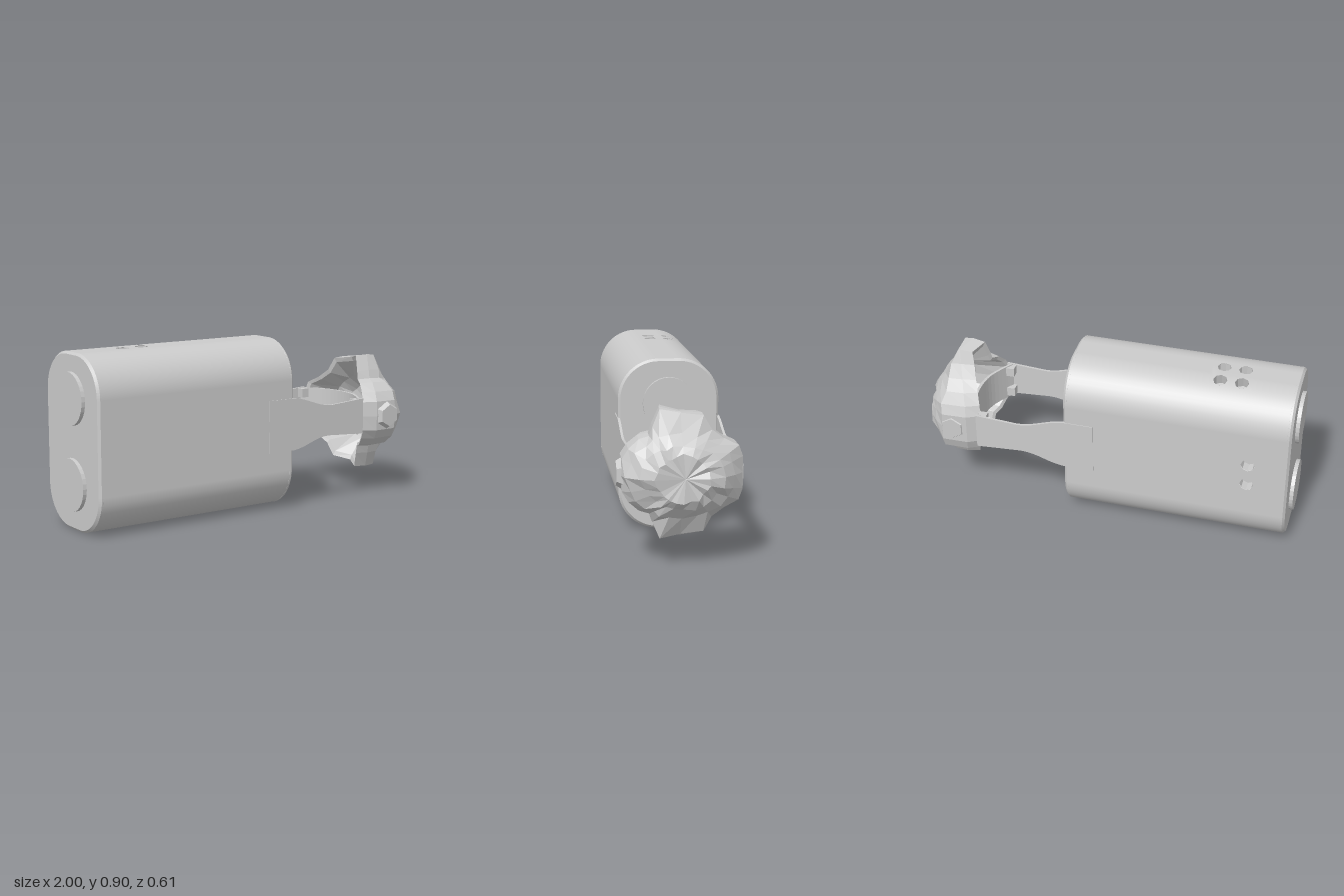
import * as THREE from 'three';
import { mergeGeometries } from 'three/addons/utils/BufferGeometryUtils.js';

const grey = new THREE.MeshStandardMaterial({ color: 0xcccccc, side: THREE.DoubleSide });
const flat = new THREE.MeshStandardMaterial({ color: 0xcccccc, side: THREE.DoubleSide, flatShading: true });
const ZC = -0.0275, MIDY = 0.45; // centre of the casing section

function add(parent, name, geometry, material = flat) {
  const mesh = new THREE.Mesh(geometry, material);
  mesh.name = name;
  parent.add(mesh);
  return mesh;
}

// Rounded casing section, drawn clockwise from the top
function section(inset) {
  const r = 0.21 - inset, a = 0.0525, b = 0.24, s = new THREE.Shape(), q = Math.PI / 2;
  s.moveTo(-a, b + r);
  s.lineTo(a, b + r);
  s.absarc(a, b, r, q, 0, true);
  s.lineTo(a + r, -b);
  s.absarc(a, -b, r, 0, -q, true);
  s.lineTo(-a, -b - r);
  s.absarc(-a, -b, r, -q, -2 * q, true);
  s.lineTo(-a - r, b);
  s.absarc(-a, b, r, 2 * q, q, true);
  return s;
}

function createCasing() {
  const g = new THREE.Group();
  g.name = 'casing';
  const path = section(0), P = path.getLength(), half = P / 2;
  const wrap = (x, s) => {
    const u = (((s % P) + P) % P) / P, p = path.getPointAt(u), t = path.getTangentAt(u);
    return { pos: new THREE.Vector3(x, MIDY + p.y, ZC - p.x), n: new THREE.Vector3(0, t.x, t.y) };
  };
  const skin = [], R = 0.036;

  // A patch of the unrolled skin, bent round the section
  function patch(x0, x1, s0, s1, holes = []) {
    const pts = [], N = holes.length ? 8 : 1;
    for (let i = 0; i <= N; i++) pts.push(new THREE.Vector2(x1, s0 + (s1 - s0) * i / N));
    for (let i = N; i >= 0; i--) pts.push(new THREE.Vector2(x0, s0 + (s1 - s0) * i / N));
    const shape = new THREE.Shape(pts);
    for (const [hx, hs] of holes) {
      const ring = [];
      for (let k = 0; k < 8; k++) {
        ring.push(new THREE.Vector2(hx + R * Math.cos(k * Math.PI / 4), hs + R * Math.sin(k * Math.PI / 4)));
      }
      shape.holes.push(new THREE.Path(ring));
      // Recessed cup behind each hole
      const { pos, n } = wrap(hx, hs);
      const profile = [[0, -0.06], [R, -0.06], [R, -0.002]].map(p => new THREE.Vector2(...p));
      const cup = add(g, 'ventHole', new THREE.LatheGeometry(profile, 8));
      cup.position.copy(pos);
      cup.quaternion.setFromUnitVectors(new THREE.Vector3(0, 1, 0), n);
    }
    const geo = new THREE.ShapeGeometry(shape), p = geo.attributes.position, nn = geo.attributes.normal;
    for (let i = 0; i < p.count; i++) {
      const w = wrap(p.getX(i), p.getY(i));
      p.setXYZ(i, w.pos.x, w.pos.y, w.pos.z);
      nn.setXYZ(i, w.n.x, w.n.y, w.n.z);
    }
    skin.push(geo);
  }
  const XA = -0.958, XB = 0.178;
  const strips = (x0, x1, s0, s1, n) => {
    for (let i = 0; i < n; i++) patch(x0, x1, s0 + (s1 - s0) * i / n, s0 + (s1 - s0) * (i + 1) / n);
  };
  const grid = (a, b) => [[-0.69, a], [-0.69, b], [-0.58, a], [-0.58, b]];
  // Top and bottom bands with four holes each
  for (const [s0, s1, a, b] of [[0, 0.21, 0.045, 0.155], [half - 0.105, half + 0.105, half - 0.05, half + 0.06]]) {
    strips(XA, -0.75, s0, s1, 8);
    patch(-0.75, -0.52, s0, s1, grid(a, b));
    strips(-0.52, XB, s0, s1, 8);
  }
  // Back side with two holes, plain front side, and the curved corners
  const f0 = 0.105 + 0.21 * Math.PI / 2, f1 = f0 + 0.48;
  patch(XA, XB, f0, f1, [[-0.77, (f0 + f1) / 2 - 0.06], [-0.77, (f0 + f1) / 2 + 0.06]]);
  patch(XA, XB, half + f0, half + f1);
  strips(XA, XB, 0.21, f0, 8);
  strips(XA, XB, f1, half - 0.105, 8);
  strips(XA, XB, half + 0.105, half + f0, 8);
  strips(XA, XB, half + f1, P, 12);
  add(g, 'casingSkin', mergeGeometries(skin), grey);

  // Chamfered end plates with two round discs each
  for (const [x, dx] of [[-0.968, -0.99], [0.178, 0.21]]) {
    const cap = add(g, 'endPlate', new THREE.ExtrudeGeometry(section(0.012), {
      depth: 0.01, bevelSize: 0.012, bevelThickness: 0.012, bevelSegments: 1, curveSegments: 12 }));
    cap.rotation.y = Math.PI / 2;
    cap.position.set(x, MIDY, ZC);
    for (const y of [0.235, 0.67]) {
      const disc = add(g, 'endDisc', new THREE.CylinderGeometry(0.135, 0.135, 0.02, 32).rotateZ(Math.PI / 2));
      disc.position.set(dx, y, ZC);
    }
  }
  return g;
}

function createStraps() {
  const g = new THREE.Group();
  g.name = 'straps';
  const s = new THREE.Shape();
  s.moveTo(0.04, 0.315);
  s.lineTo(0.2, 0.315);
  s.bezierCurveTo(0.3, 0.325, 0.34, 0.37, 0.44, 0.37);
  s.lineTo(0.68, 0.355);
  s.lineTo(0.68, 0.55);
  s.lineTo(0.46, 0.535);
  s.bezierCurveTo(0.36, 0.535, 0.3, 0.585, 0.2, 0.595);
  s.lineTo(0.04, 0.595);
  for (const [z, clip] of [[0.226, 0.205], [-0.294, -0.262]]) {
    add(g, 'strap', new THREE.ExtrudeGeometry(s, { depth: 0.013, bevelEnabled: false })).position.z = z;
    // Clips joining the strap to the mask
    for (const y of [0.39, 0.52]) {
      add(g, 'strapClip', new THREE.BoxGeometry(0.045, 0.05, 0.045)).position.set(0.65, y, clip);
    }
  }
  return g;
}

function createMask() {
  const g = new THREE.Group();
  g.name = 'mask';
  // Outline as [z, height above centre], then mirrored below
  const upper = [[-0.3, 0], [-0.3, 0.08], [-0.28, 0.135], [-0.21, 0.17], [-0.15, 0.215], [-0.11, 0.285],
    [0, 0.3], [0.1, 0.318], [0.135, 0.235], [0.15, 0.19], [0.2, 0.175], [0.25, 0.13], [0.28, 0.08], [0.285, 0]];
  const outline = [...upper, ...upper.slice(1, -1).reverse().map(([z, y]) => [z, -y])];
  const n = outline.length;
  let seed = 7;
  const rnd = () => (seed = (seed * 16807) % 2147483647) / 2147483647 - 0.5;
  const rimX = z => 0.79 - 0.42 * Math.abs(z);
  const scaled = (kz, ky, dx) => outline.map(([z, y]) => [rimX(z) + dx, y * ky, z * kz]);
  const oval = (x, a, b, j) => outline.map(([z, y]) => {
    const k = (1 + j * rnd()) / Math.hypot(z / a, y / b);
    return [x + j * 0.14 * rnd(), y * k, z * k];
  });
  const point = x => outline.map(() => [x, 0, -0.01]);
  // Rings from the hollow inside, round the rim and over the front
  const rings = [
    point(0.93), oval(0.92, 0.16, 0.12, 0.1), oval(0.87, 0.23, 0.18, 0.1), scaled(0.82, 0.9, 0.012),
    scaled(0.87, 0.985, 0), scaled(0.99, 1, 0.07),
    outline.map(([z, y]) => [0.875 - 0.02 * Math.abs(y) + 0.015 * rnd(), y * 0.985, z]),
    oval(0.92, 0.262, 0.2, 0.09), oval(0.962, 0.2, 0.155, 0.12), oval(0.988, 0.13, 0.112, 0.16), point(0.985)];
  const index = [];
  for (let k = 0; k < rings.length - 1; k++) {
    for (let i = 0; i < n; i++) {
      const a = k * n + i, b = k * n + (i + 1) % n;
      index.push(a, b, b + n, a, b + n, a + n);
    }
  }
  const geo = new THREE.BufferGeometry();
  geo.setAttribute('position', new THREE.Float32BufferAttribute(rings.flat(2), 3));
  geo.setIndex(index);
  geo.computeVertexNormals();
  geo.translate(0, MIDY, 0);
  add(g, 'maskShell', geo);

  // Angular side bosses
  for (const side of [1, -1]) {
    const boss = add(g, 'sideBoss', new THREE.CylinderGeometry(0.06, 0.1, 0.06, 6).rotateX(side * Math.PI / 2));
    boss.position.set(0.815, MIDY, side * 0.274);
  }

  // Curved saddle between the straps
  const curve = new THREE.CatmullRomCurve3([[0.645, 0.225], [0.675, 0.18], [0.725, 0.08], [0.74, -0.03],
    [0.725, -0.14], [0.675, -0.235], [0.645, -0.285]].map(([x, z]) => new THREE.Vector3(x, -z, 0)));
  const front = curve.getPoints(24);
  const edge = [...front, ...front.map(p => new THREE.Vector3(p.x + 0.015, p.y, 0)).reverse()];
  const band = new THREE.ExtrudeGeometry(new THREE.Shape(edge.map(p => new THREE.Vector2(p.x, p.y))),
    { depth: 0.2, bevelEnabled: false });
  add(g, 'saddle', band.rotateX(-Math.PI / 2)).position.y = 0.35;
  return g;
}

export function createModel() {
  const model = new THREE.Group();
  model.name = 'breathingDevice';
  model.add(createCasing(), createStraps(), createMask());
  return model;
}
